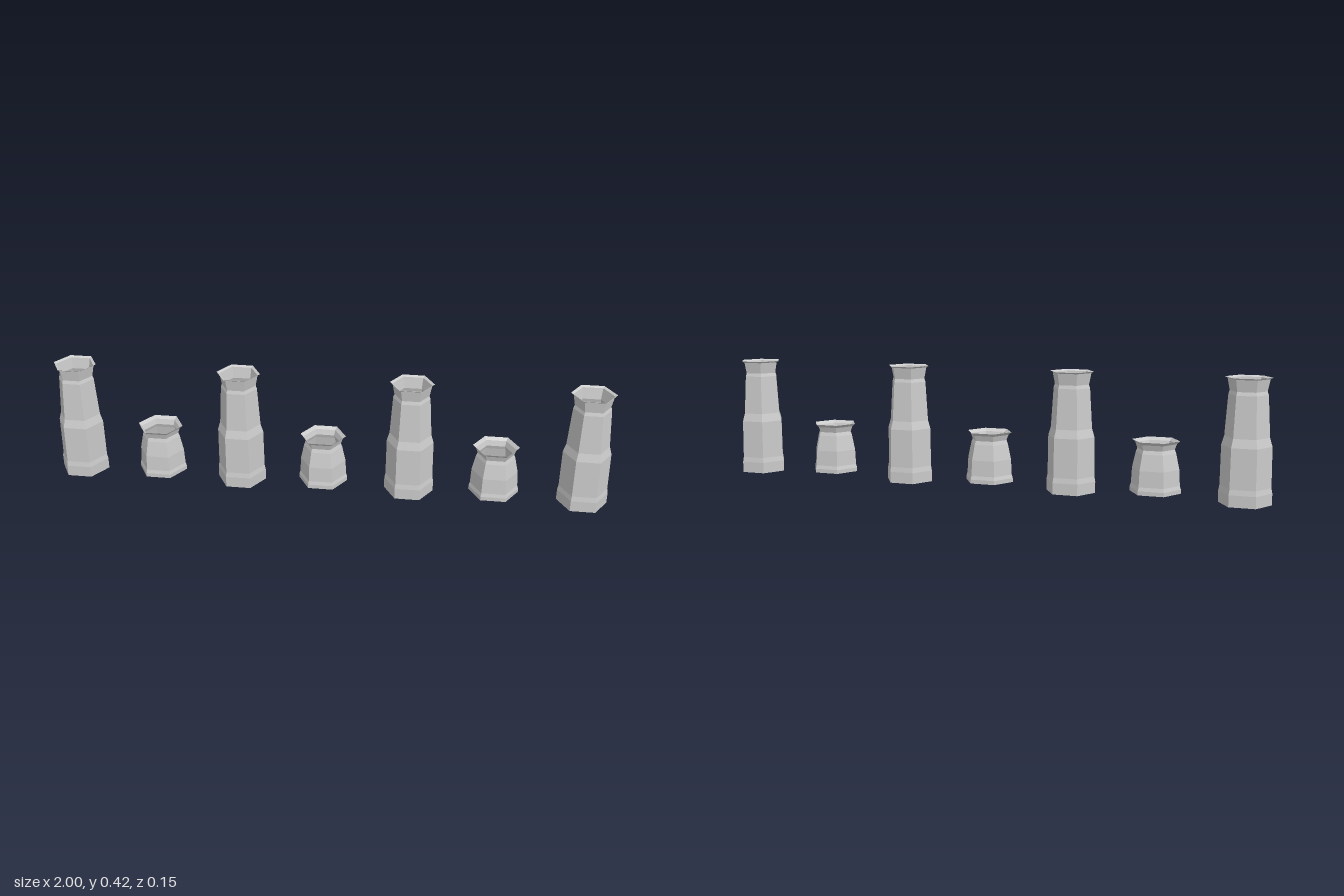
import * as THREE from 'three';

const material = new THREE.MeshStandardMaterial({
  color: 0xcccccc, flatShading: true, side: THREE.DoubleSide,
});

// Six-sided open vessel: [corner radius, height] from the closed floor to the flared rim
function hexVessel(profile) {
  const points = profile.map(([r, y]) => new THREE.Vector2(r, y));
  return new THREE.LatheGeometry(points, 6, Math.PI / 2);
}

const tallProfile = [
  [0, 0], [0.088, 0], [0.088, 0.04], [0.0845, 0.058], [0.083, 0.195],
  [0.074, 0.225], [0.065, 0.365], [0.061, 0.377], [0.069, 0.417], [0.078, 0.422],
];

const shortProfile = [
  [0, 0.018], [0.088, 0.018], [0.088, 0.032], [0.084, 0.045], [0.081, 0.1],
  [0.069, 0.155], [0.064, 0.168], [0.071, 0.187], [0.082, 0.197],
];

export function createModel() {
  const group = new THREE.Group();

  // Tall and short columns alternate along one row
  const addRow = (name, profile, centres) => {
    const geometry = hexVessel(profile);
    centres.forEach((x, i) => {
      const column = new THREE.Mesh(geometry, material);
      column.name = `${name}${i + 1}`;
      column.position.x = x;
      group.add(column);
    });
  };
  addRow('tallColumn', tallProfile, [-0.912, -0.315, 0.297, 0.912]);
  addRow('shortColumn', shortProfile, [-0.612, -0.014, 0.6]);

  return group;
}
